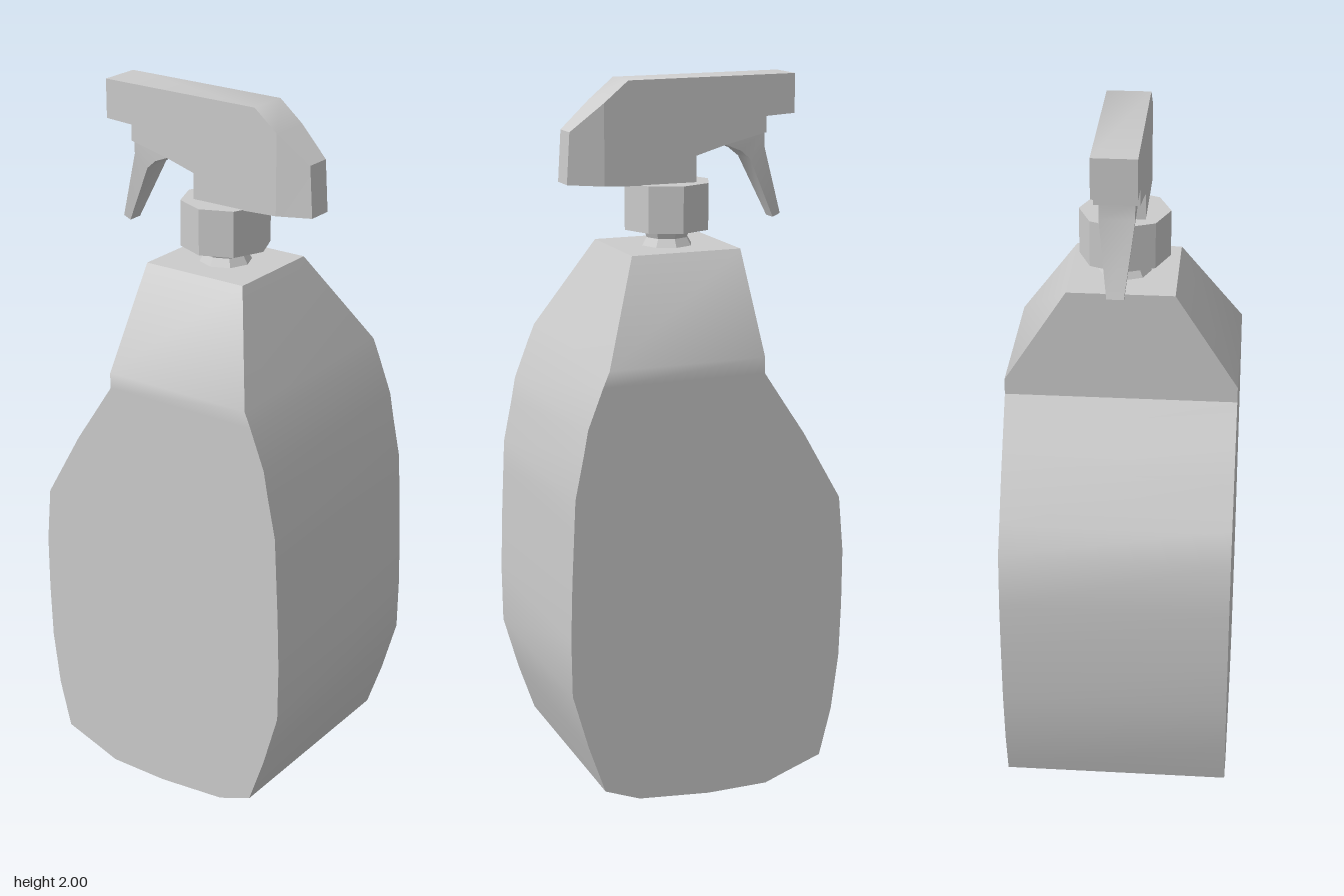
import * as THREE from 'three';
import { toCreasedNormals } from 'three/addons/utils/BufferGeometryUtils.js';

const material = new THREE.MeshStandardMaterial({ color: 0xcccccc });

function part(name, geometry, crease) {
  const mesh = new THREE.Mesh(toCreasedNormals(geometry, crease), material);
  mesh.name = name;
  return mesh;
}

// Side profile extruded along z; halfWidth(x, y) gives the thickness at each point
function slab(points, halfWidth) {
  const shape = new THREE.Shape(points.map(([x, y]) => new THREE.Vector2(x, y)));
  const geo = new THREE.ExtrudeGeometry(shape, { depth: 1, bevelEnabled: false });
  const p = geo.attributes.position;
  for (let i = 0; i < p.count; i++) {
    p.setZ(i, (p.getZ(i) > 0.5 ? 1 : -1) * halfWidth(p.getX(i), p.getY(i)));
  }
  return geo;
}

// Stacked rectangles: [y, left x, right x, half depth]
function loft(rows) {
  const pos = [], index = [];
  for (const [y, l, r, d] of rows) pos.push(l, y, d, r, y, d, r, y, -d, l, y, -d);
  for (let i = 0; i < rows.length - 1; i++) {
    for (let j = 0; j < 4; j++) {
      const a = i * 4 + j, b = i * 4 + (j + 1) % 4;
      index.push(a, b, b + 4, a, b + 4, a + 4);
    }
  }
  const t = (rows.length - 1) * 4;
  index.push(0, 3, 2, 0, 2, 1, t, t + 1, t + 2, t, t + 2, t + 3);
  const geo = new THREE.BufferGeometry();
  geo.setAttribute('position', new THREE.Float32BufferAttribute(pos, 3));
  geo.setIndex(index);
  return geo;
}

export function createModel() {
  const group = new THREE.Group();
  group.name = 'sprayBottle';

  // Bottle with a grip recess on the trigger side and sloping shoulders
  group.add(part('bottle', loft([
    [0, -0.18, 0, 0.32],
    [0.02, -0.235, 0.21, 0.32],
    [0.06, -0.35, 0.312, 0.32],
    [0.2, -0.385, 0.36, 0.32],
    [0.36, -0.405, 0.405, 0.32],
    [0.52, -0.41, 0.407, 0.32],
    [0.68, -0.41, 0.402, 0.32],
    [0.84, -0.395, 0.394, 0.32],
    [0.92, -0.349, 0.39, 0.32],
    [1.04, -0.28, 0.365, 0.32],
    [1.11, -0.233, 0.352, 0.32],
    [1.22, -0.16, 0.309, 0.32],
    [1.265, -0.16, 0.29, 0.32],
    [1.535, -0.16, 0.16, 0.147],
  ]), 0.578));

  // Neck with a small base flange, then the octagonal collar
  const flange = part('neckFlange', new THREE.CylinderGeometry(0.06, 0.075, 0.025, 8), 0.3);
  flange.position.y = 1.545;
  const neck = part('neck', new THREE.CylinderGeometry(0.075, 0.055, 0.05, 8), 0.3);
  neck.position.y = 1.57;
  const collar = part('collar', new THREE.CylinderGeometry(0.125, 0.125, 0.13, 8), 0.3);
  collar.position.y = 1.647;
  group.add(flange, neck, collar);

  // Spray head, with its rear end narrowing
  group.add(part('sprayHead', slab([
    [-0.36, 2], [-0.36, 1.89], [-0.275, 1.885], [-0.275, 1.84], [-0.15, 1.81],
    [-0.065, 1.785], [-0.065, 1.71], [0.1, 1.71], [0.205, 1.714], [0.205, 1.938], [0.135, 1.996],
  ], () => 0.06), 0.75));
  group.add(part('sprayHeadRear', slab([
    [0.205, 1.714], [0.305, 1.72], [0.296, 1.862], [0.205, 1.938],
  ], (x) => (x > 0.25 ? 0.037 : 0.06)), 0.6));

  // Trigger, tapering to its tip
  group.add(part('trigger', slab([
    [-0.275, 1.845], [-0.275, 1.8], [-0.337, 1.605], [-0.315, 1.595],
    [-0.235, 1.765], [-0.205, 1.79], [-0.15, 1.812],
  ], (x, y) => 0.022 + 0.025 * THREE.MathUtils.clamp((y - 1.6) / 0.2, 0, 1)), 0.5));

  return group;
}
